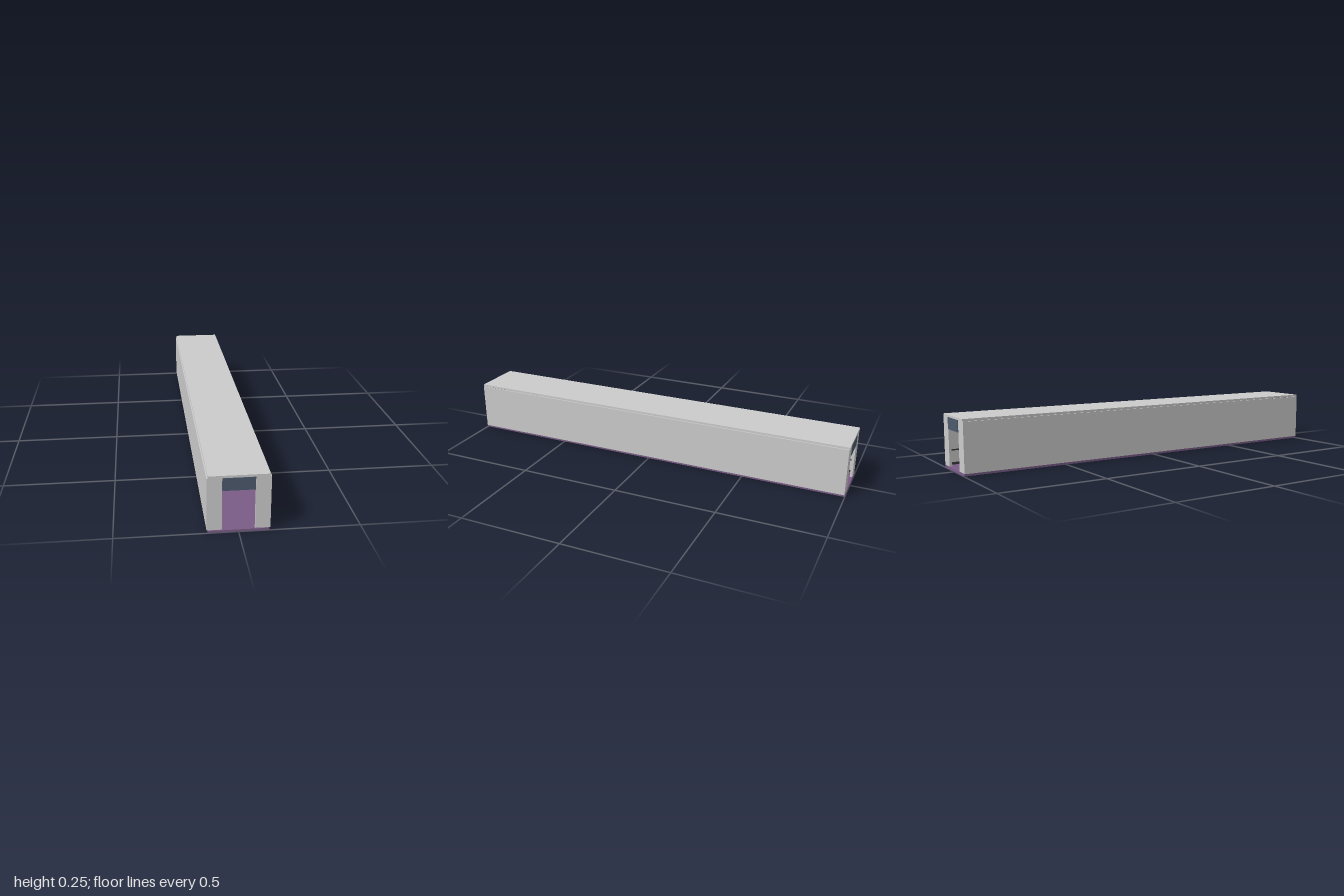
import * as THREE from 'three';

const mat = (color) => new THREE.MeshStandardMaterial({ color });
const GREY = mat(0xcccccc), FLOOR = mat(0x7a5c86), SLATE = mat(0x4c5a6c);
const DARK = mat(0x3a3a42), WOOD = mat(0x94704c), TEAL = mat(0x4f8a88);

export function createModel() {
  const root = new THREE.Group();

  // Box given by its low and high corners
  const box = (name, material, [x0, y0, z0], [x1, y1, z1], parent = root) => {
    const mesh = new THREE.Mesh(new THREE.BoxGeometry(x1 - x0, y1 - y0, z1 - z0), material);
    mesh.position.set((x0 + x1) / 2, (y0 + y1) / 2, (z0 + z1) / 2);
    mesh.name = name;
    parent.add(mesh);
    return mesh;
  };

  // Long shell: floor and ceiling slabs
  box('floor', FLOOR, [-0.124, 0, -1], [0.124, 0.01, 1]);
  box('ceiling', GREY, [-0.124, 0.242, -1], [0.124, 0.252, 1]);

  // Two halves, the second turned half way round, so each end and side match
  for (let i = 0; i < 2; i++) {
    const half = new THREE.Group();
    half.name = i ? 'backHalf' : 'frontHalf';
    half.rotation.y = i * Math.PI;
    root.add(half);

    // Side wall with its skirting and handrail
    box('sideWall', GREY, [-0.129, 0.011, -0.998], [-0.123, 0.241, 0.998], half);
    box('skirting', DARK, [-0.123, 0.01, -0.985], [-0.119, 0.021, 0.985], half);
    box('handrail', DARK, [-0.119, 0.077, -0.98], [-0.115, 0.083, 0.98], half);
    for (let k = 0; k < 11; k++) {
      const z = -0.95 + k * 0.19;
      box('railBracket', DARK, [-0.123, 0.077, z - 0.003], [-0.118, 0.081, z + 0.003], half);
    }

    // Doorway: two jambs and a dark header
    for (const s of [-1, 1]) {
      const [a, b] = s < 0 ? [-0.123, -0.067] : [0.067, 0.123];
      box('doorJamb', GREY, [a, 0.012, 0.986], [b, 0.241, 0.998], half);
    }
    box('doorHeader', SLATE, [-0.066, 0.186, 0.984], [0.066, 0.241, 1], half);

    // Wooden stand against the wall with a small potted plant
    box('woodenStand', WOOD, [-0.115, 0.01, 0.79], [-0.075, 0.13, 0.85], half);
    const plant = new THREE.Mesh(new THREE.IcosahedronGeometry(0.014, 0), TEAL);
    plant.name = 'plant';
    plant.position.set(-0.095, 0.142, 0.82);
    half.add(plant);
  }

  // Grey cabinet with a smaller unit above it
  box('cabinet', GREY, [0.048, 0.012, -0.06], [0.119, 0.091, 0.06]);
  box('cabinetNeck', DARK, [0.06, 0.091, -0.05], [0.119, 0.095, 0.05]);
  box('cabinetTop', GREY, [0.054, 0.095, -0.05], [0.119, 0.121, 0.05]);

  return root;
}
